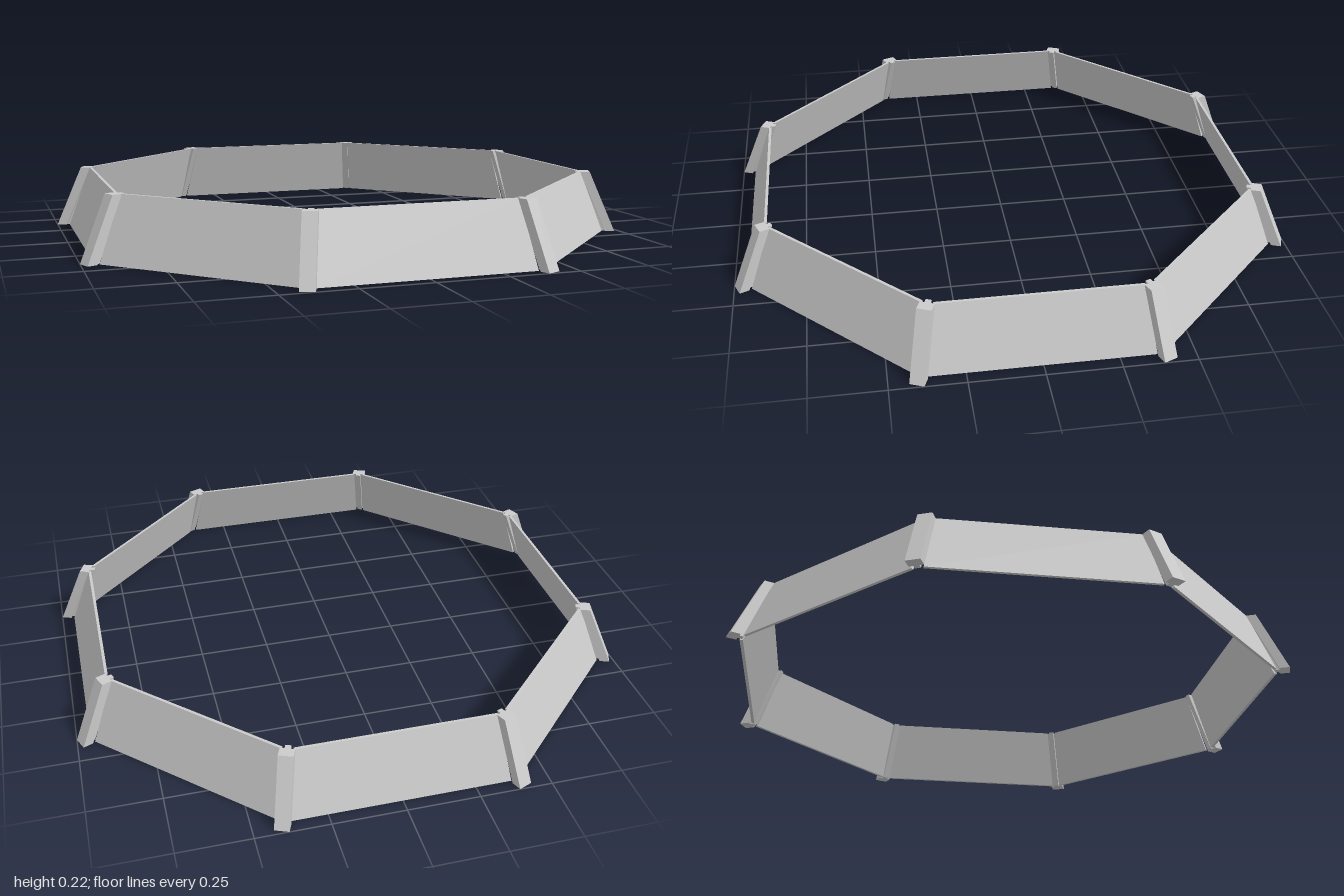
import * as THREE from 'three';

const HEIGHT = 0.225;
const SIDES = 8;

// Box leaning inward toward the ring's axis.
// bottom / top: [half width, inner distance, outer distance] from the axis
function leaningSlab(bottom, top) {
  const geometry = new THREE.BoxGeometry(2, 1, 1);
  const p = geometry.attributes.position;
  for (let i = 0; i < p.count; i++) {
    const isTop = p.getY(i) > 0;
    const [half, inner, outer] = isTop ? top : bottom;
    p.setXYZ(i, Math.sign(p.getX(i)) * half, isTop ? HEIGHT : 0, p.getZ(i) > 0 ? outer : inner);
  }
  geometry.computeVertexNormals();
  return geometry;
}

export function createModel() {
  const model = new THREE.Group();
  model.name = 'octagonalFence';
  const material = new THREE.MeshStandardMaterial({ color: 0xcccccc, flatShading: true });

  const panelGeometry = leaningSlab([0.374, 0.944, 0.955], [0.34, 0.866, 0.876]);
  const slabGeometry = leaningSlab([0.025, 1.036, 1.072], [0.025, 0.937, 0.973]);
  const tongueGeometry = leaningSlab([0.01, 1.02, 1.036], [0.01, 0.921, 0.937]);

  const add = (parent, name, geometry) => {
    const mesh = new THREE.Mesh(geometry, material);
    mesh.name = name;
    parent.add(mesh);
    return mesh;
  };

  for (let i = 0; i < SIDES; i++) {
    const angle = (i / SIDES) * Math.PI * 2;

    // Thin wall panel on each side
    add(model, 'wallPanel', panelGeometry).rotation.y = angle;

    // Corner post: outer slab with a narrow tongue between the panel ends
    const post = new THREE.Group();
    post.name = 'cornerPost';
    post.rotation.y = angle + Math.PI / SIDES;
    add(post, 'postSlab', slabGeometry);
    add(post, 'postTongue', tongueGeometry);
    model.add(post);
  }
  return model;
}
